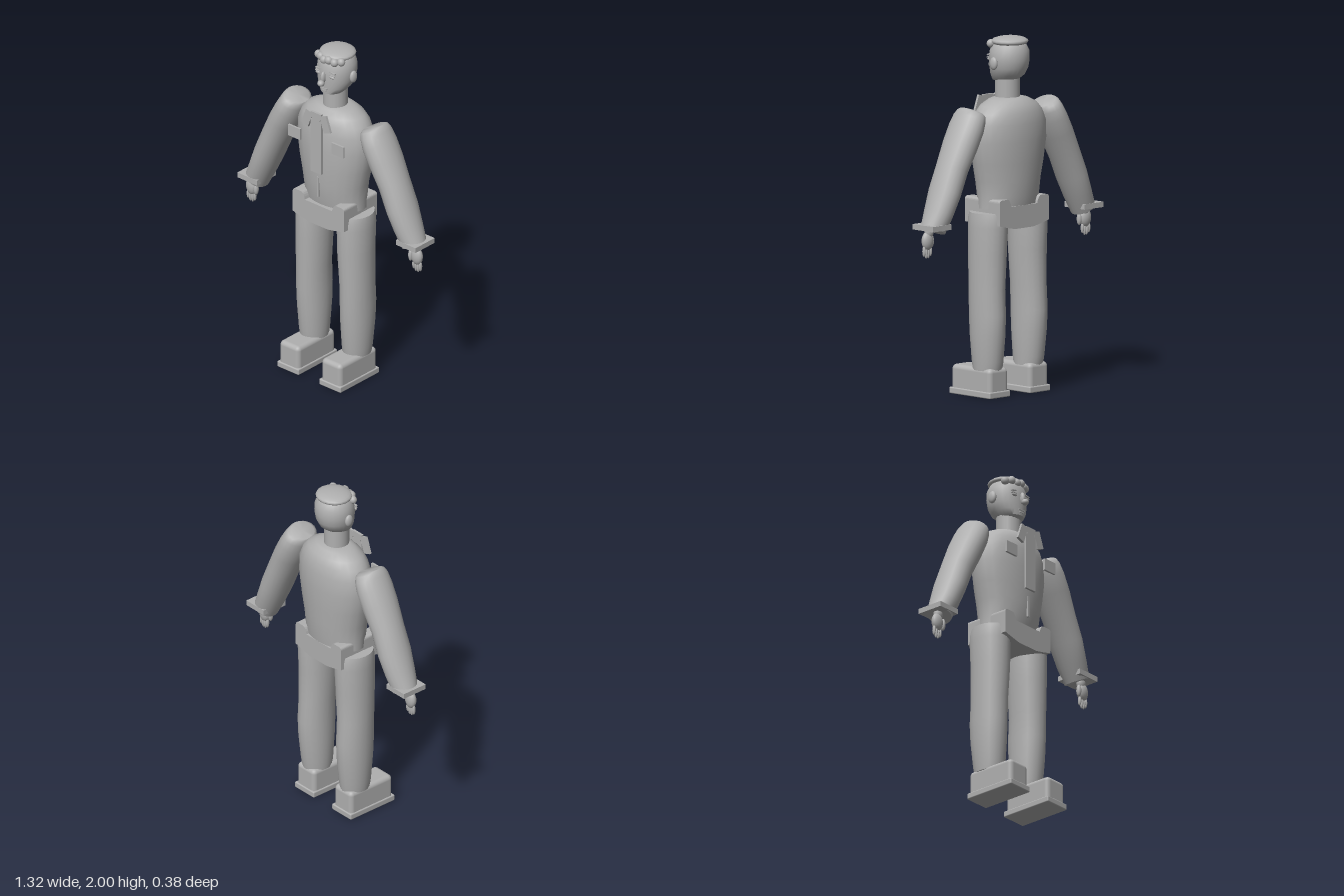
import * as THREE from 'three';
import { toCreasedNormals } from 'three/addons/utils/BufferGeometryUtils.js';
import { RoundedBoxGeometry } from 'three/addons/geometries/RoundedBoxGeometry.js';

const grey = new THREE.MeshStandardMaterial({ color: 0xb0b0b0 });
grey.name = 'plain grey';

// Closed body from elliptical sections [y, rx, rz, cx, cz], bottom to top
function loft(sections, n = 20) {
  const pos = [], idx = [];
  for (const [y, rx, rz, cx = 0, cz = 0] of sections) {
    for (let i = 0; i < n; i++) {
      const a = (i / n) * Math.PI * 2;
      pos.push(cx + rx * Math.cos(a), y, cz + rz * Math.sin(a));
    }
  }
  const last = sections.length - 1;
  for (const k of [0, last]) {
    const [y, , , cx = 0, cz = 0] = sections[k];
    pos.push(cx, y, cz);
  }
  const bottom = sections.length * n, top = bottom + 1;
  for (let i = 0; i < n; i++) {
    const j = (i + 1) % n;
    for (let k = 0; k < last; k++) {
      const a = k * n + i, b = k * n + j;
      idx.push(a, a + n, b, b, a + n, b + n);
    }
    idx.push(bottom, i, j, top, last * n + j, last * n + i);
  }
  const geo = new THREE.BufferGeometry();
  geo.setAttribute('position', new THREE.Float32BufferAttribute(pos, 3));
  geo.setIndex(idx);
  return toCreasedNormals(geo, 0.85);
}

export function createModel() {
  const model = new THREE.Group();
  model.name = 'figure';

  const add = (name, geo, x = 0, y = 0, z = 0, parent = model) => {
    const mesh = new THREE.Mesh(geo, grey);
    mesh.name = name;
    mesh.position.set(x, y, z);
    parent.add(mesh);
    return mesh;
  };
  const box = (name, w, h, d, x, y, z, parent) =>
    add(name, new THREE.BoxGeometry(w, h, d), x, y, z, parent);
  const blob = (name, rx, ry, rz, x, y, z, parent) =>
    add(name, new THREE.SphereGeometry(1, 18, 12).scale(rx, ry, rz), x, y, z, parent);

  // Torso, neck
  add('torso', loft([
    [1.05, 0.2, 0.125, 0, -0.035],
    [1.12, 0.2, 0.138, 0, -0.033],
    [1.2, 0.21, 0.145, 0, -0.032],
    [1.3, 0.232, 0.151, 0, -0.033],
    [1.42, 0.252, 0.155, 0, -0.035],
    [1.52, 0.248, 0.151, 0, -0.036],
    [1.58, 0.222, 0.14, 0, -0.036],
    [1.62, 0.185, 0.122, 0, -0.036],
    [1.65, 0.125, 0.092, 0, -0.036],
    [1.66, 0.08, 0.07, 0, -0.036],
  ], 24));
  add('neck', new THREE.CylinderGeometry(0.07, 0.07, 0.17, 20), 0, 1.695, -0.028);

  // Pelvis block with a notched top and a sagging lower edge
  const hip = new THREE.Shape();
  hip.moveTo(-0.19, 0.965);
  hip.quadraticCurveTo(-0.11, 0.945, -0.07, 0.938);
  hip.lineTo(0.07, 0.938);
  hip.quadraticCurveTo(0.11, 0.945, 0.19, 0.965);
  hip.lineTo(0.19, 1.09);
  hip.quadraticCurveTo(0.19, 1.108, 0.17, 1.108);
  hip.lineTo(0.13, 1.108);
  hip.quadraticCurveTo(0.11, 1.108, 0.1, 1.065);
  hip.lineTo(-0.1, 1.065);
  hip.quadraticCurveTo(-0.11, 1.108, -0.13, 1.108);
  hip.lineTo(-0.17, 1.108);
  hip.quadraticCurveTo(-0.19, 1.108, -0.19, 1.09);
  hip.closePath();
  add('pelvis', new THREE.ExtrudeGeometry(hip, { depth: 0.275, bevelEnabled: false, curveSegments: 5 }), 0, 0, -0.162);

  // Shirt front
  box('frontPlacket', 0.08, 0.33, 0.014, 0, 1.445, 0.128);
  box('fly', 0.012, 0.125, 0.012, 0, 1.183, 0.112);
  const knot = new THREE.Shape([[-0.04, 1.655], [-0.026, 1.6], [0.026, 1.6], [0.04, 1.655]]
    .map(([x, y]) => new THREE.Vector2(x, y)));
  add('collarKnot', new THREE.ExtrudeGeometry(knot, { depth: 0.014, bevelEnabled: false }), 0, 0, 0.121);

  // Head
  add('head', loft([
    [1.74, 0.04, 0.045, 0, -0.005],
    [1.752, 0.066, 0.075, 0, -0.01],
    [1.785, 0.093, 0.098, 0, -0.03],
    [1.825, 0.107, 0.108, 0, -0.04],
    [1.87, 0.114, 0.112, 0, -0.043],
    [1.92, 0.11, 0.108, 0, -0.045],
    [1.96, 0.09, 0.09, 0, -0.045],
    [1.985, 0.055, 0.055, 0, -0.045],
  ], 24));
  blob('hairCap', 0.105, 0.03, 0.1, 0, 1.97, -0.048);
  for (let i = 0; i < 6; i++) {
    const t = (i - 2.5) / 2.5;
    blob('hairCurl', 0.024, 0.024, 0.022, t * 0.083, 1.95 + (i % 2) * 0.008, 0.048 - 0.03 * t * t);
  }
  blob('noseBridge', 0.013, 0.035, 0.018, 0, 1.855, 0.072);
  blob('noseTip', 0.02, 0.018, 0.02, 0, 1.825, 0.093);
  box('upperLip', 0.046, 0.007, 0.01, 0, 1.784, 0.066);
  box('lowerLip', 0.03, 0.007, 0.01, 0, 1.772, 0.065);

  for (const s of [1, -1]) {
    const side = new THREE.Group();
    side.name = s > 0 ? 'leftSide' : 'rightSide';
    model.add(side);

    // Face details
    blob('ear', 0.016, 0.036, 0.026, s * 0.12, 1.855, -0.043, side);
    blob('eye', 0.02, 0.009, 0.008, s * 0.05, 1.865, 0.058, side);
    box('eyelid', 0.042, 0.005, 0.012, s * 0.05, 1.876, 0.057, side);
    box('eyebrow', 0.045, 0.006, 0.012, s * 0.05, 1.892, 0.055, side).rotation.z = -s * 0.15;

    // Collar flap and chest pocket
    box('collarFlap', 0.05, 0.1, 0.014, s * 0.066, 1.603, 0.128, side).rotation.z = s * 0.35;
    box('chestPocket', 0.088, 0.068, 0.012, s * 0.16, 1.477, 0.13, side);

    // Arm, tapering along a slanted axis
    add('arm', loft([
      [0, 0.07, 0.073],
      [0.1, 0.074, 0.09],
      [0.22, 0.079, 0.102, s * 0.004],
      [0.36, 0.082, 0.099, s * 0.008],
      [0.5, 0.086, 0.11, s * 0.004],
      [0.6, 0.084, 0.112],
      [0.66, 0.076, 0.105],
      [0.69, 0.07, 0.09],
      [0.7, 0.063, 0.07],
    ]), s * 0.58, 0.972, -0.033, side).rotation.z = s * 0.444;

    // Cuff and hand
    box('cuff', 0.145, 0.03, 0.16, s * 0.586, 0.992, -0.033, side);
    blob('wrist', 0.028, 0.04, 0.024, s * 0.6, 0.965, -0.022, side);
    blob('palm', 0.038, 0.053, 0.026, s * 0.61, 0.915, -0.02, side);
    blob('thumb', 0.014, 0.036, 0.015, s * 0.571, 0.91, -0.012, side);
    for (let i = 0; i < 4; i++) {
      const len = i === 0 || i === 3 ? 0.03 : 0.036;
      blob('finger', 0.0085, len, 0.011, s * (0.587 + i * 0.0165), 0.888 - len, -0.02, side);
    }

    // Trouser leg
    add('leg', loft([
      [0.15, 0.076, 0.088, s * 0.157, -0.032],
      [0.2, 0.08, 0.096, s * 0.158, -0.033],
      [0.35, 0.088, 0.11, s * 0.16, -0.035],
      [0.46, 0.088, 0.116, s * 0.161, -0.035],
      [0.6, 0.09, 0.112, s * 0.16, -0.03],
      [0.8, 0.097, 0.118, s * 0.154, -0.028],
      [0.95, 0.1, 0.122, s * 0.153, -0.031],
      [1.0, 0.099, 0.12, s * 0.152, -0.031],
      [1.03, 0.095, 0.112, s * 0.152, -0.031],
    ]), 0, 0, 0, side);

    // Shoe
    add('sole', new RoundedBoxGeometry(0.16, 0.036, 0.325, 2, 0.007), s * 0.155, 0.018, 0.032, side);
    add('shoeUpper', new RoundedBoxGeometry(0.146, 0.155, 0.31, 3, 0.026), s * 0.155, 0.0875, 0.032, side);
  }
  return model;
}
